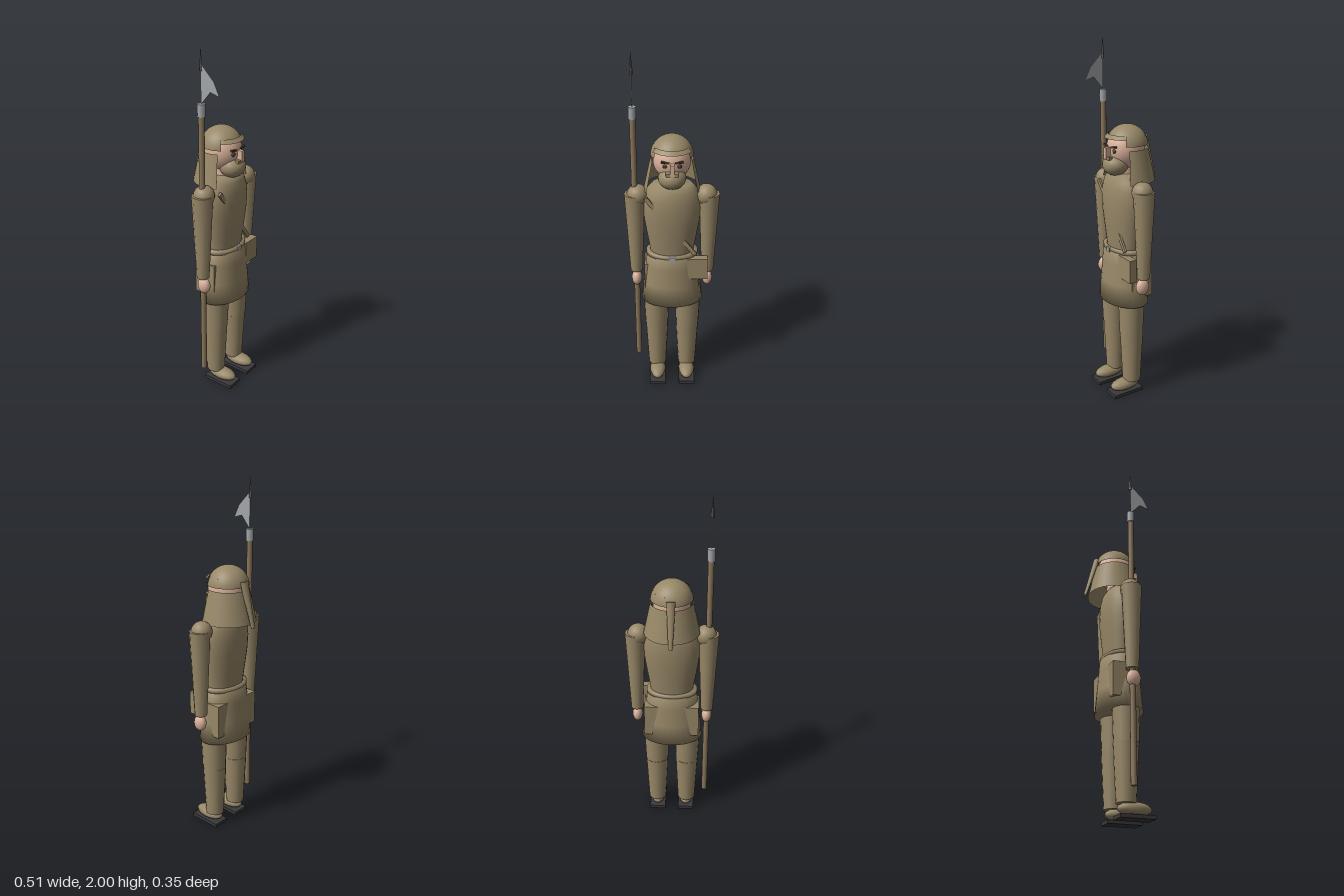
import * as THREE from 'three';

const mat = (name, color, double = false) => {
  const m = new THREE.MeshStandardMaterial({ color });
  m.name = name;
  if (double) m.side = THREE.DoubleSide;
  return m;
};

export function createModel() {
  const root = new THREE.Group();
  root.name = 'spearman';
  const khaki = mat('khaki cloth', 0x988868, true);
  const skin = mat('skin', 0xd8b09a);
  const wood = mat('wood', 0x8a7659);
  const steel = mat('steel', 0xa3a7aa, true);
  const darkSteel = mat('dark steel', 0x5c5c62);
  const black = mat('sole black', 0x3a383a);
  const brown = mat('brow brown', 0x4a3a2e);

  const add = (name, geo, material, x = 0, y = 0, z = 0) => {
    const m = new THREE.Mesh(geo, material);
    m.name = name;
    m.position.set(x, y, z);
    root.add(m);
    return m;
  };
  const box = (name, material, size, pos) => add(name, new THREE.BoxGeometry(...size), material, ...pos);
  const ball = (name, material, r, pos, seg = 16) =>
    add(name, new THREE.SphereGeometry(1, seg, Math.round(seg * 0.7)).scale(...r), material, ...pos);
  // Tapered tube between two heights
  const taper = (name, material, rTop, rBot, y0, y1, x, z, seg = 16) =>
    add(name, new THREE.CylinderGeometry(rTop, rBot, y1 - y0, seg), material, x, (y0 + y1) / 2, z);
  // Turned form squashed from front to back
  const turned = (name, material, profile, depth) => {
    const geo = new THREE.LatheGeometry(profile.map(p => new THREE.Vector2(...p)), 28);
    return add(name, geo.scale(1, 1, depth), material, 0, 0, 0.036);
  };

  // Coat: torso, skirt, belt
  turned('torso', khaki, [[0.118, 0.86], [0.125, 0.91], [0.14, 1.0], [0.152, 1.08], [0.156, 1.15],
    [0.151, 1.21], [0.135, 1.26], [0.105, 1.295], [0, 1.3]], 0.64);
  turned('skirt', khaki, [[0, 0.56], [0.175, 0.56], [0.161, 0.68], [0.149, 0.79], [0.141, 0.865], [0.1, 0.868]], 0.7);
  turned('belt', khaki, [[0.12, 0.86], [0.144, 0.86], [0.144, 0.882], [0.12, 0.882]], 0.68);
  box('beltBuckle', steel, [0.03, 0.026, 0.008], [0, 0.87, 0.135]);
  box('pouch', khaki, [0.112, 0.13, 0.042], [0.141, 0.795, 0.101]);
  const strap = box('chestStrap', khaki, [0.022, 0.44, 0.012], [-0.007, 1.06, 0.106]);
  strap.rotation.z = Math.atan2(0.265, 0.345);

  // Limbs, mirrored
  for (const s of [-1, 1]) {
    const side = s > 0 ? 'left' : 'right';
    taper(side + 'Thigh', khaki, 0.076, 0.067, 0.38, 0.62, s * 0.09, 0.042);
    taper(side + 'Shin', khaki, 0.067, 0.052, 0.075, 0.38, s * 0.089, 0.04);
    box(side + 'Sole', black, [0.094, 0.02, 0.188], [s * 0.087, 0.01, 0.085]);
    const shoe = new THREE.SphereGeometry(1, 12, 8).rotateX(Math.PI / 2).scale(0.047, 0.036, 0.092);
    add(side + 'Shoe', shoe, khaki, s * 0.087, 0.052, 0.084);
    taper(side + 'Arm', khaki, 0.058, 0.035, 0.745, 1.23, s * 0.2, 0.036, 10);
    ball(side + 'Shoulder', khaki, [0.058, 0.058, 0.058], [s * 0.185, 1.223, 0.036]);
    ball(side + 'Hand', skin, [0.029, 0.047, 0.039], [s * 0.2, 0.695, 0.042]);
    box(side + 'Pocket', khaki, [0.085, 0.19, 0.13], [s * 0.112, 0.705, 0.012]);
    // Face details
    ball(side + 'Eye', brown, [0.013, 0.012, 0.009], [s * 0.037, 1.425, 0.116], 10);
    const brow = box(side + 'Brow', brown, [0.042, 0.009, 0.014], [s * 0.036, 1.446, 0.118]);
    brow.rotation.z = s * 0.12;
  }

  // Head
  taper('neck', skin, 0.055, 0.06, 1.27, 1.36, 0, 0.025);
  ball('head', skin, [0.102, 0.112, 0.106], [0, 1.425, 0.02], 24);
  ball('beard', khaki, [0.074, 0.06, 0.07], [0, 1.345, 0.086], 20);
  box('nose', skin, [0.024, 0.062, 0.04], [0, 1.412, 0.132]);
  box('moustache', khaki, [0.066, 0.016, 0.024], [0, 1.386, 0.135]);

  // Helmet: a full cap, with a lower rim around sides and back
  const R = 0.114, capAngle = 1.06;
  add('helmetCap', new THREE.SphereGeometry(R, 28, 10, 0, Math.PI * 2, 0, capAngle), khaki, 0, 1.441, 0.012);
  const open = 0.95; // half angle left free at the face
  add('helmetRim', new THREE.SphereGeometry(R, 24, 4, Math.PI / 2 + open, 2 * (Math.PI - open), capAngle, 0.43),
    khaki, 0, 1.441, 0.012);
  const peak = add('helmetPeak', new THREE.CylinderGeometry(0.1, 0.119, 0.02, 16, 1, true, -1, 2), khaki, 0, 1.497, 0.012);
  peak.scale.z = 1.02;

  // Neck curtain, open at the front
  const gap = 1.11;
  add('neckCurtain', new THREE.CylinderGeometry(0.114, 0.152, 0.178, 20, 1, true, gap, 2 * (Math.PI - gap)),
    khaki, 0, 1.342, 0.012);

  // Hanging tail at the back
  const tail = add('helmetTail', new THREE.CylinderGeometry(0.027, 0.013, 0.25, 6).scale(1, 1, 0.65),
    khaki, 0, 1.36, -0.131);
  tail.rotation.x = 0.27;

  // Spear
  const sx = -0.2, sz = 0.037;
  taper('spearShaft', wood, 0.016, 0.016, 0.14, 1.66, sx, sz, 12);
  taper('spearSocket', steel, 0.021, 0.021, 1.652, 1.717, sx, sz, 10);
  const blade = new THREE.Shape([[0, 1.915], [0.079, 1.835], [0.112, 1.767], [0.058, 1.783], [0, 1.714]]
    .map(p => new THREE.Vector2(...p)));
  const bladeGeo = new THREE.ExtrudeGeometry(blade, { depth: 0.004, bevelEnabled: false });
  bladeGeo.translate(0, 0, -0.002).rotateY(-Math.PI / 2);
  add('spearBlade', bladeGeo, steel, sx, 0, sz);
  const spike = taper('spearSpike', darkSteel, 0, 0.01, 1.88, 2.0, sx, sz, 4);
  spike.material.flatShading = true;

  return root;
}
